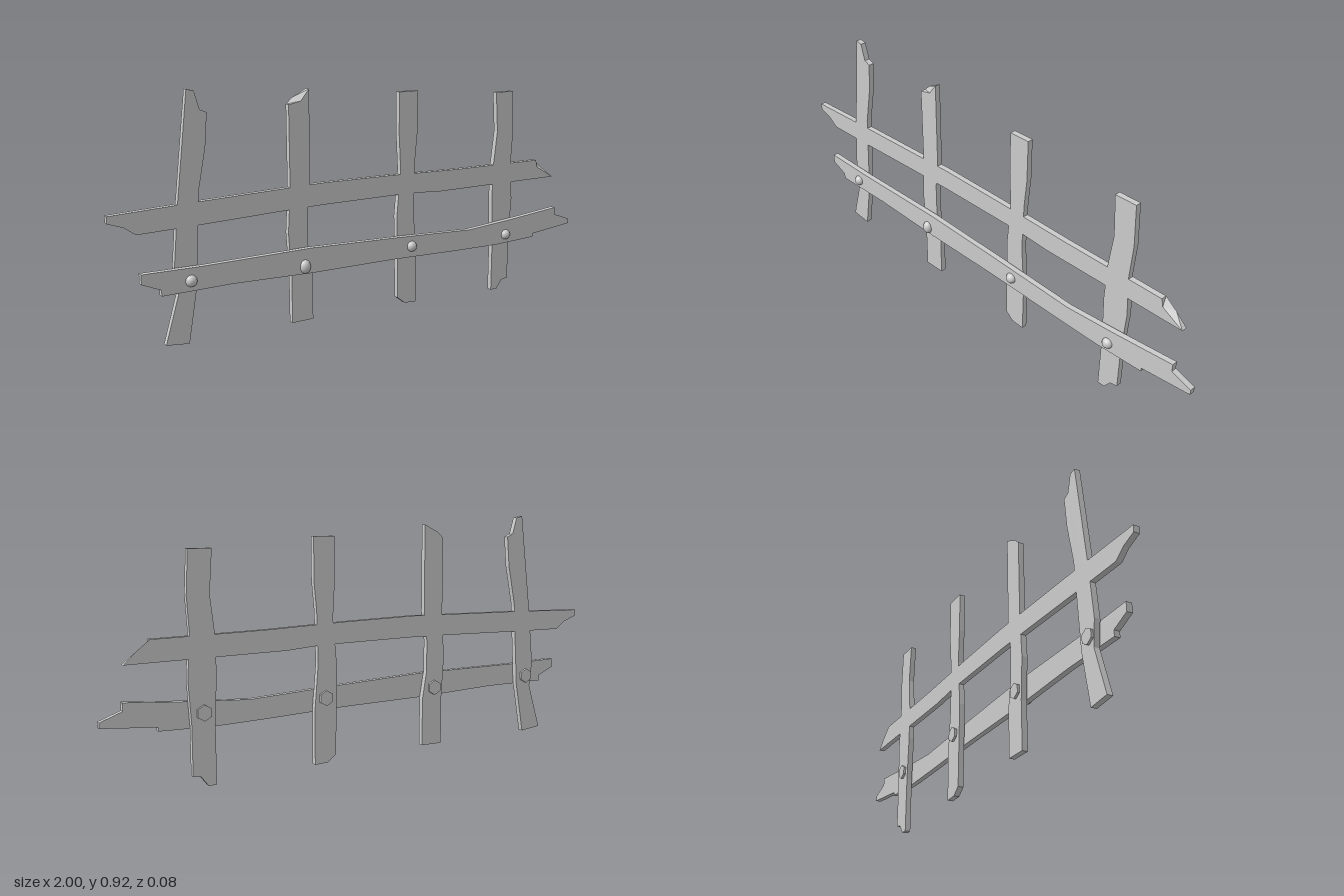
import * as THREE from 'three';

const material = new THREE.MeshStandardMaterial({ color: 0xcccccc, flatShading: true });
const smooth = new THREE.MeshStandardMaterial({ color: 0xcccccc });

// Flat board cut from an outline; 'splinter' moves one outline point on the back face
// so that the broken end slants through the thickness.
function board(name, outline, zBack, zFront, splinter) {
  const shape = new THREE.Shape(outline.map(([x, y]) => new THREE.Vector2(x, y)));
  const geometry = new THREE.ExtrudeGeometry(shape, { depth: zFront - zBack, bevelEnabled: false });
  if (splinter) {
    const p = geometry.attributes.position;
    const [fx, fy] = splinter.front, [bx, by] = splinter.back;
    for (let i = 0; i < p.count; i++) {
      if (p.getZ(i) < 1e-5 && Math.hypot(p.getX(i) - fx, p.getY(i) - fy) < 1e-4) p.setXY(i, bx, by);
    }
    geometry.computeVertexNormals();
  }
  geometry.translate(0, 0, zBack);
  const mesh = new THREE.Mesh(geometry, material);
  mesh.name = name;
  return mesh;
}

// Domed head in front, shank through the boards, hexagonal nut behind
function bolt(x, y, nutX, nutY, stretch) {
  const group = new THREE.Group();
  group.name = 'bolt';
  const add = (name, geometry, mat, px, py, z) => {
    const mesh = new THREE.Mesh(geometry.rotateX(Math.PI / 2), mat);
    mesh.name = name;
    mesh.position.set(px, py, z);
    group.add(mesh);
    return mesh;
  };
  const head = add('boltHead', new THREE.SphereGeometry(0.021, 16, 6, 0, Math.PI * 2, 0, Math.PI / 2), smooth, x, y, 0.019);
  head.scale.set(1, stretch, 0.95);
  add('boltShank', new THREE.CylinderGeometry(0.01, 0.01, 0.04, 8), smooth, x, y, -0.005);
  add('nut', new THREE.CylinderGeometry(0.029, 0.029, 0.011, 6), material, nutX, nutY, -0.0325);
  return group;
}

export function createModel() {
  const fence = new THREE.Group();
  fence.name = 'brokenFence';
  const back = -0.029, mid = -0.007;

  // Upright pickets
  const pickets = [
    [[-0.71, 0.923], [-0.82, 0.05], [-0.735, 0.04], [-0.7, 0.24], [-0.687, 0.457], [-0.68, 0.575],
      [-0.65, 0.725], [-0.64, 0.842], [-0.665, 0.853], [-0.683, 0.917]],
    [[-0.332, 0.845], [-0.332, 0.54], [-0.342, 0.38], [-0.332, 0.22], [-0.332, 0.037], [-0.245, 0.037],
      [-0.245, 0.22], [-0.263, 0.33], [-0.263, 0.45], [-0.25, 0.56], [-0.25, 0.896], [-0.283, 0.855]],
    [[0.136, 0.86], [0.136, 0.7], [0.144, 0.56], [0.128, 0.38], [0.134, 0.05], [0.168, 0.023],
      [0.22, 0.02], [0.22, 0.22], [0.205, 0.4], [0.21, 0.59], [0.22, 0.7], [0.22, 0.86]],
    [[0.604, 0.828], [0.615, 0.67], [0.6, 0.54], [0.596, 0.4], [0.604, 0.22], [0.604, 0], [0.634, 0],
      [0.66, 0.035], [0.69, 0.04], [0.69, 0.22], [0.7, 0.38], [0.69, 0.54], [0.698, 0.67], [0.69, 0.828]],
  ];
  // The leftmost picket leans: its left edge bows through these points
  pickets[0].splice(1, 0, [-0.757, 0.54], [-0.778, 0.323], [-0.767, 0.227]);
  pickets.forEach((outline, i) => {
    const splinter = i === 1 ? { front: [-0.283, 0.855], back: [-0.306, 0.868] } : null;
    fence.add(board('picket' + (i + 1), outline, back, mid, splinter));
  });

  // Upper rail, level with the pickets, splintered at one end
  fence.add(board('upperRail', [
    [-1, 0.53], [-1, 0.505], [-0.945, 0.485], [-0.905, 0.455], [-0.74, 0.457], [-0.39, 0.465], [-0.2, 0.468],
    [0.19, 0.465], [0.33, 0.455], [0.92, 0.45], [0.835, 0.5], [0.828, 0.53], [0.41, 0.535],
    [0.09, 0.545], [-0.2, 0.55], [-0.68, 0.54],
  ], back, mid, { front: [0.835, 0.5], back: [0.875, 0.493] }));

  // Lower rail, bolted on in front of the pickets
  fence.add(board('lowerRail', [
    [-0.905, 0.325], [-0.905, 0.29], [-0.837, 0.26], [-0.837, 0.238], [-0.58, 0.238], [-0.26, 0.225],
    [0.09, 0.22], [0.41, 0.208], [0.6, 0.203], [0.8, 0.208], [0.8, 0.222], [1, 0.24], [1, 0.26],
    [0.92, 0.29], [0.92, 0.32], [0.68, 0.3], [0.46, 0.286], [0.09, 0.305], [-0.26, 0.32], [-0.69, 0.32],
  ], -0.002, 0.02));

  // Bolts: head x, y, nut x, y, vertical stretch of the head
  [
    [-0.73, 0.275, -0.743, 0.272, 1],
    [-0.29, 0.254, -0.297, 0.264, 1.25],
    [0.18, 0.26, 0.175, 0.268, 1],
    [0.65, 0.24, 0.645, 0.262, 1],
  ].forEach((b) => fence.add(bolt(...b)));

  return fence;
}
